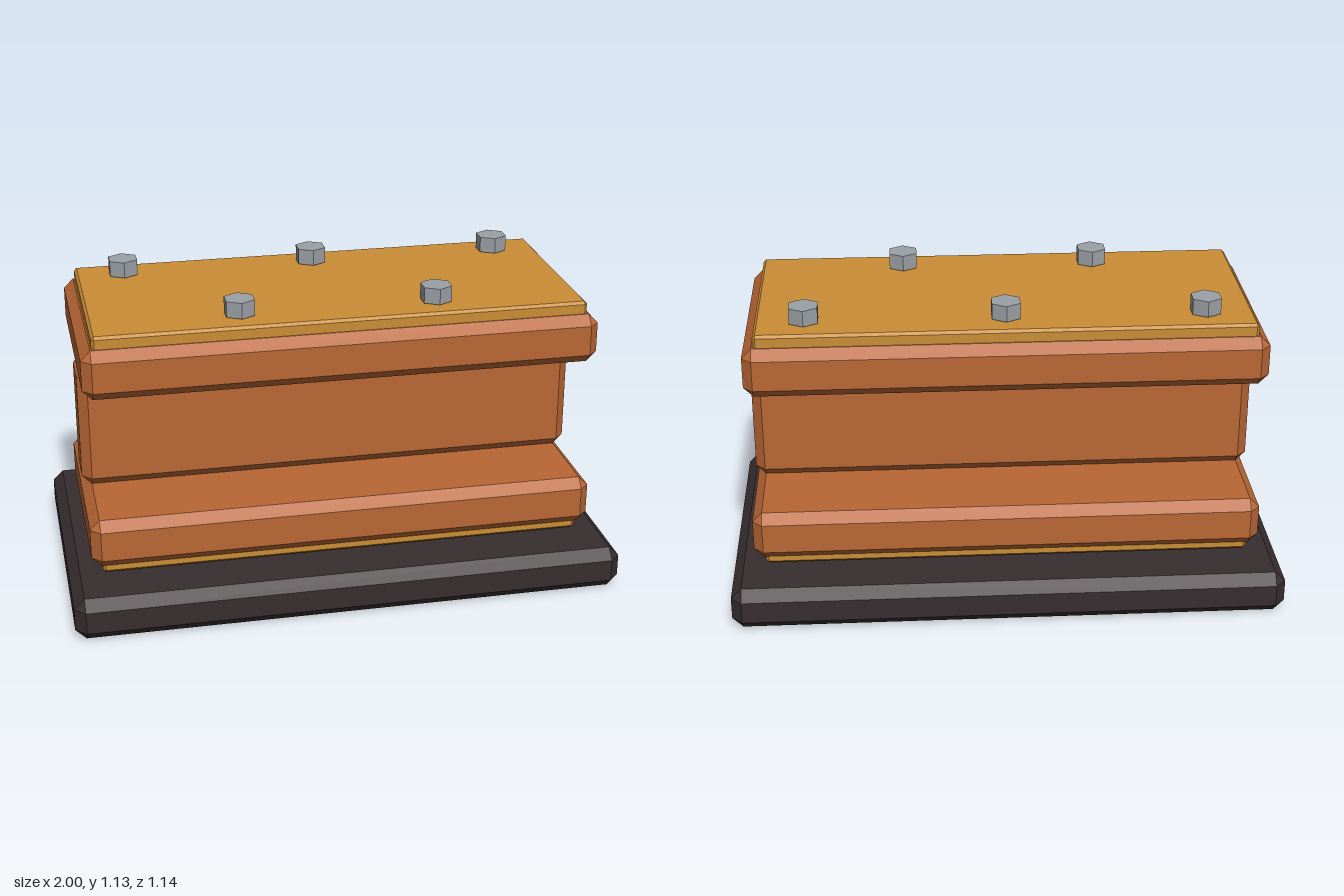
import * as THREE from 'three';
import { ConvexGeometry } from 'three/addons/geometries/ConvexGeometry.js';

const makeMaterial = (name, color) => {
  const material = new THREE.MeshStandardMaterial({ color });
  material.name = name;
  return material;
};

// Box with every edge cut at 45 degrees; halfX and halfZ are half sizes
function chamferedBox(halfX, bottom, top, halfZ, cut) {
  const halfY = (top - bottom) / 2;
  const points = [];
  for (const sx of [-1, 1]) for (const sy of [-1, 1]) for (const sz of [-1, 1]) {
    points.push(
      new THREE.Vector3(sx * halfX, sy * (halfY - cut), sz * (halfZ - cut)),
      new THREE.Vector3(sx * (halfX - cut), sy * halfY, sz * (halfZ - cut)),
      new THREE.Vector3(sx * (halfX - cut), sy * (halfY - cut), sz * halfZ)
    );
  }
  return new ConvexGeometry(points).translate(0, (bottom + top) / 2, 0);
}

export function createModel() {
  const group = new THREE.Group();
  group.name = 'steelBeam';
  const darkStone = makeMaterial('darkBase', 0x372d2f);
  const rust = makeMaterial('rustOrange', 0xb96735);
  const gold = makeMaterial('goldPlate', 0xc98d35);
  const steel = makeMaterial('steelGrey', 0x9ba0a6);

  const add = (name, geometry, material) => {
    const mesh = new THREE.Mesh(geometry, material);
    mesh.name = name;
    group.add(mesh);
    return mesh;
  };

  // Base slab
  add('base', chamferedBox(1, 0, 0.157, 0.57, 0.038), darkStone);

  // I-beam: two flanges joined by a web
  add('lowerFlange', chamferedBox(0.92, 0.198, 0.378, 0.412, 0.035), rust);
  add('web', chamferedBox(0.92, 0.378, 0.84, 0.106, 0.035), rust);
  add('upperFlange', chamferedBox(0.92, 0.84, 1.02, 0.412, 0.035), rust);

  // Cover plates under and over the beam
  add('lowerPlate', chamferedBox(0.88, 0.165, 0.22, 0.373, 0.01), gold);
  add('upperPlate', chamferedBox(0.88, 1.01, 1.065, 0.373, 0.01), gold);

  // Staggered hexagonal bolt heads
  const boltGeometry = new THREE.CylinderGeometry(0.058, 0.058, 0.058, 6).toNonIndexed();
  boltGeometry.computeVertexNormals();
  const bolts = [[-0.706, -0.255], [0, -0.255], [0.706, -0.255], [-0.353, 0.255], [0.353, 0.255]];
  bolts.forEach(([x, z], i) => {
    add(`bolt${i + 1}`, boltGeometry, steel).position.set(x, 1.099, z);
  });

  return group;
}
